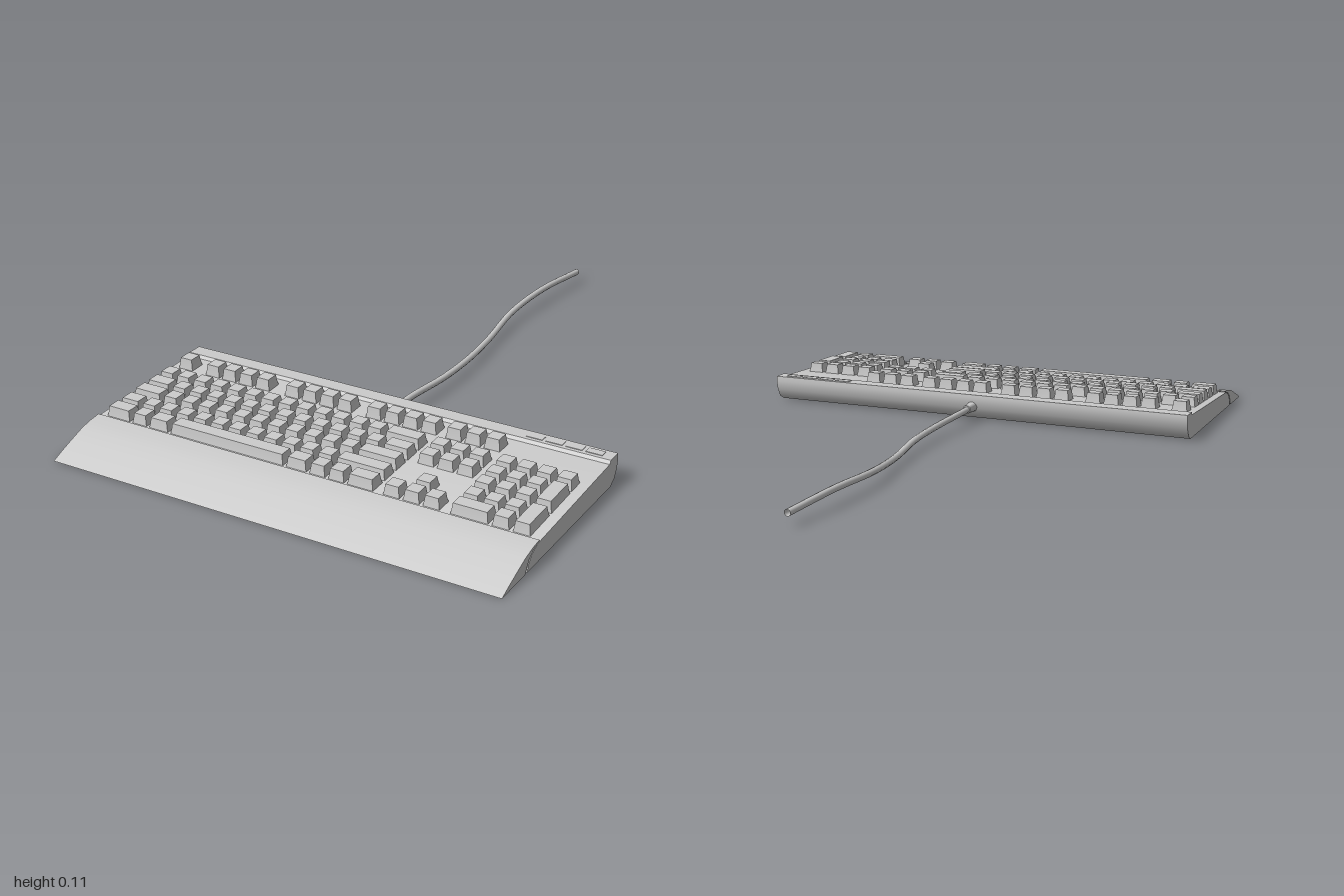
import * as THREE from 'three';
import { toCreasedNormals, mergeGeometries } from 'three/addons/utils/BufferGeometryUtils.js';

const W = 0.737;    // half width of the case
const U = 0.0629;   // key pitch across
const GAP = 0.0085; // space between keys
const ROWS = [0.407, 0.505, 0.567, 0.63, 0.693, 0.755];  // row centres in z
const TOPS = [0.109, 0.102, 0.0985, 0.097, 0.0915, 0.0905]; // key top heights

// Side outlines as [z, y]
const CASE = [[0.86, 0], [0.853, 0.02], [0.835, 0.042], [0.8, 0.057], [0.352, 0.077], [0.345, 0.087],
  [0.295, 0.087], [0.293, 0.07], [0.3, 0.04], [0.315, 0.014], [0.34, 0]];
const REST_TOP = [[1, 0], [0.96, 0.017], [0.92, 0.032], [0.87, 0.05], [0.83, 0.059], [0.792, 0.063]];
const REST_UNDER = [[0.793, 0.059], [0.825, 0.051], [0.85, 0.034], [0.863, 0.015], [0.87, 0]];

const deckY = z => 0.057 + (0.8 - z) * 0.0446;
const outline = pts => new THREE.Shape(pts.map(p => new THREE.Vector2(...p)));

const material = new THREE.MeshStandardMaterial({ color: 0xcccccc });
const shellMaterial = new THREE.MeshStandardMaterial({ color: 0xcccccc, side: THREE.DoubleSide });

function add(parent, name, geometry, mat = material) {
  const mesh = new THREE.Mesh(geometry, mat);
  mesh.name = name;
  parent.add(mesh);
  return mesh;
}

// Keycap: a box narrowed at the top, its base following the sloping deck
function keycap(x0, x1, z0, z1, top) {
  const w = x1 - x0, d = z1 - z0, zc = (z0 + z1) / 2;
  const g = new THREE.BoxGeometry(w, 1, d, 1, 2, 1);
  const p = g.attributes.position;
  for (let i = 0; i < p.count; i++) {
    const level = p.getY(i) + 0.5; // 0 base, 0.5 shoulder, 1 top
    const inset = level === 1 ? 0.0065 : level === 0.5 ? 0.004 : 0;
    const z = zc + p.getZ(i) - Math.sign(p.getZ(i)) * inset;
    const base = deckY(z) - 0.006;
    p.setXYZ(i, (x0 + x1) / 2 + p.getX(i) - Math.sign(p.getX(i)) * inset,
      base + level * (top + (zc - z) * 0.03 - base), z);
  }
  return toCreasedNormals(g, 0.2);
}

// A run of keys of given widths (in key units) from the left edge; negative widths are gaps
function keyRun(row, left, widths, rowSpan = 1) {
  const keys = [];
  let x = left;
  for (const w of widths) {
    const width = Math.abs(w) * U;
    if (w > 0) keys.push(keycap(x, x + width - GAP, ROWS[row] - 0.027,
      ROWS[row + rowSpan - 1] + 0.027, TOPS[row]));
    x += width;
  }
  return keys;
}

const ones = n => Array(n).fill(1);

export function createModel() {
  const model = new THREE.Group();
  model.name = 'keyboard';

  // Case: a hollow shell open underneath, with two end walls
  const body = new THREE.Group();
  body.name = 'case';
  model.add(body);
  const strip = new THREE.PlaneGeometry(2 * W, 1, 1, CASE.length - 1);
  const p = strip.attributes.position;
  for (let i = 0; i < p.count; i++) {
    const [z, y] = CASE[Math.floor(i / 2)];
    p.setXYZ(i, i % 2 ? -W : W, y, z);
  }
  add(body, 'caseShell', toCreasedNormals(strip, 0.6), shellMaterial);
  for (const side of [-1, 1]) {
    const wall = new THREE.ShapeGeometry(outline(CASE)).rotateY(-Math.PI / 2);
    add(body, side > 0 ? 'leftWall' : 'rightWall', wall, shellMaterial).position.x = side * W;
  }

  // Wrist rest, curved in front of the case
  const rest = new THREE.ExtrudeGeometry(outline([...REST_TOP, ...REST_UNDER]),
    { depth: 2 * W, bevelEnabled: false });
  rest.rotateY(-Math.PI / 2).translate(W, 0, 0);
  add(model, 'wristRest', toCreasedNormals(rest, 0.5));

  // Main block
  const L = -0.713;
  const main = [
    ...keyRun(1, L, [...ones(13), 2]),
    ...keyRun(2, L, [1.5, ...ones(12), 1.5]),
    ...keyRun(3, L, [1.75, ...ones(11), 2.25]),
    ...keyRun(4, L, [1.25, ...ones(11), 2.75]),
    ...keyRun(5, L, [1.5, 1, 1.25, 6.5, 1.25, 1, 1, 1.5]),
  ];
  add(model, 'mainKeys', mergeGeometries(main));

  // Top row: a single key, then three groups of four
  const topRow = keyRun(0, L, [1]);
  for (const x of [-0.609, -0.311, -0.02]) topRow.push(...keyRun(0, x, ones(4)));
  add(model, 'topRowKeys', mergeGeometries(topRow));

  // Navigation block and arrows
  const N = 0.252;
  const nav = [0, 1, 2, 5].flatMap(row => keyRun(row, N, ones(3)));
  nav.push(...keyRun(4, N, [-1, 1]));
  add(model, 'navigationKeys', mergeGeometries(nav));

  // Number pad with two tall keys
  const P = 0.463;
  const pad = [
    ...keyRun(1, P, ones(4)),
    ...[2, 3, 4].flatMap(row => keyRun(row, P, ones(3))),
    ...keyRun(5, P, [2, 1]),
    ...keyRun(2, P, [-3, 1], 2),
    ...keyRun(4, P, [-3, 1], 2),
  ];
  add(model, 'numberPadKeys', mergeGeometries(pad));

  // Low media buttons on the rear bar
  for (let i = 0; i < 4; i++) {
    add(model, 'mediaButton', new THREE.BoxGeometry(0.052, 0.004, 0.026))
      .position.set(0.49 + i * U, 0.0868, 0.32);
  }

  // Cable and its strain relief
  const path = new THREE.CatmullRomCurve3([
    [0, 0.045, 0.3], [0, 0.045, 0.2], [0.013, 0.038, 0.02], [0.01, 0.034, -0.15], [-0.012, 0.028, -0.33],
    [-0.038, 0.04, -0.55], [-0.029, 0.048, -0.77], [-0.004, 0.038, -0.999],
  ].map(v => new THREE.Vector3(...v)));
  add(model, 'cable', new THREE.TubeGeometry(path, 28, 0.0105, 10), shellMaterial);
  const relief = new THREE.CylinderGeometry(0.018, 0.014, 0.06, 12).rotateX(Math.PI / 2);
  add(model, 'strainRelief', toCreasedNormals(relief, 0.8)).position.set(0, 0.046, 0.28);

  return model;
}
